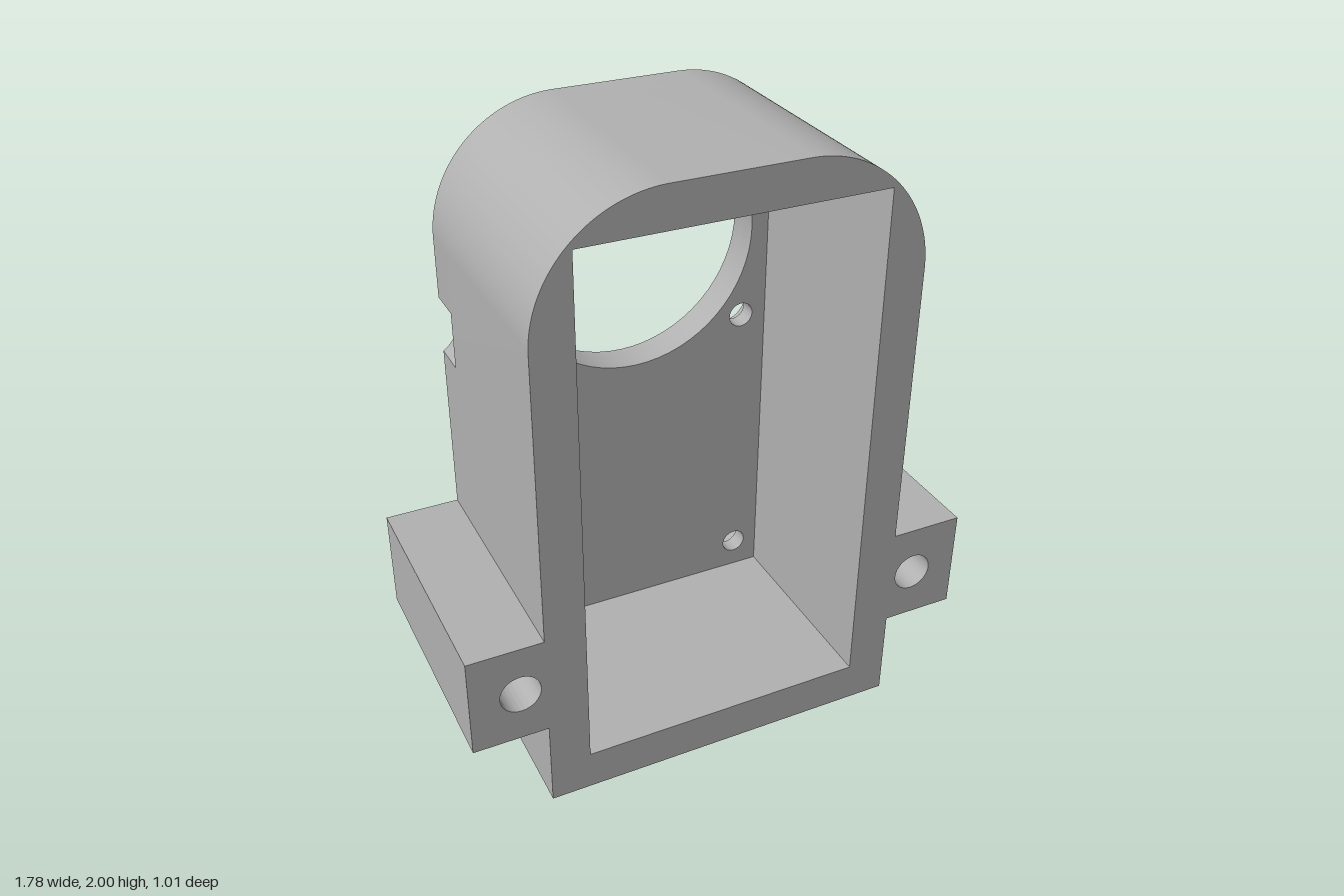
import * as THREE from 'three';
import { toCreasedNormals } from 'three/addons/utils/BufferGeometryUtils.js';

const HALF = 0.605, LUG = 0.847, TOP = 1.99, CORNER = 0.4;
const LUG_LOW = 0.3, LUG_HIGH = 0.64;
const BACK = -0.4, STEP = -0.34, FLOOR = -0.28, FRONT = 0.4;
const NOTCH_Y = 1.3, NOTCH_R = 0.111, NOTCH_HALF = 0.093;

// Housing outline with side lugs, optionally notched on both sides
function outline(notched) {
  const s = new THREE.Shape();
  const cy = TOP - CORNER, cx = HALF - CORNER;
  const nx = HALF + Math.sqrt(NOTCH_R ** 2 - NOTCH_HALF ** 2);
  const a = Math.asin(NOTCH_HALF / NOTCH_R);
  s.moveTo(-HALF, 0);
  s.lineTo(HALF, 0);
  s.lineTo(HALF, LUG_LOW);
  s.lineTo(LUG, LUG_LOW);
  s.lineTo(LUG, LUG_HIGH);
  s.lineTo(HALF, LUG_HIGH);
  if (notched) s.absarc(nx, NOTCH_Y, NOTCH_R, Math.PI + a, Math.PI - a, true);
  s.lineTo(HALF, cy);
  s.absarc(cx, cy, CORNER, 0, Math.PI / 2, false);
  s.lineTo(-cx, TOP);
  s.absarc(-cx, cy, CORNER, Math.PI / 2, Math.PI, false);
  if (notched) s.absarc(-nx, NOTCH_Y, NOTCH_R, a, -a, true);
  s.lineTo(-HALF, LUG_HIGH);
  s.lineTo(-LUG, LUG_HIGH);
  s.lineTo(-LUG, LUG_LOW);
  s.lineTo(-HALF, LUG_LOW);
  s.closePath();
  return s;
}

function circle(x, y, r) {
  return new THREE.Path().absarc(x, y, r, 0, Math.PI * 2, true);
}

// Mirrored pairs of holes
const lugHoles = (r) => [-1, 1].map((k) => circle(k * 0.687, 0.47, r));
const screwHoles = (r) =>
  [-1, 1].flatMap((k) => [0.237, 1.172].map((y) => circle(k * 0.385, y, r)));

function cavity() {
  const w = 0.474, low = 0.135, high = 1.86;
  return new THREE.Path([
    new THREE.Vector2(-w, low), new THREE.Vector2(-w, high),
    new THREE.Vector2(w, high), new THREE.Vector2(w, low),
    new THREE.Vector2(-w, low),
  ]);
}

export function createModel() {
  const grey = new THREE.MeshStandardMaterial({ color: 0xb0b0b0 });
  grey.name = 'plain grey';

  const housing = new THREE.Group();
  housing.name = 'housing';

  function layer(name, z0, z1, notched, holes) {
    const shape = outline(notched);
    shape.holes.push(...holes);
    const geo = new THREE.ExtrudeGeometry(shape, {
      depth: z1 - z0, bevelEnabled: false, curveSegments: 32,
    });
    geo.translate(0, 0, z0);
    const mesh = new THREE.Mesh(toCreasedNormals(geo, 0.5), grey);
    mesh.name = name;
    housing.add(mesh);
  }

  const opening = () => circle(0, 1.487, 0.415);
  // Back wall: counterbored outer half, then narrow screw holes
  layer('backPlateOuter', BACK, STEP, true, [opening(), ...screwHoles(0.078), ...lugHoles(0.125)]);
  layer('backPlateInner', STEP, FLOOR, true, [opening(), ...screwHoles(0.042), ...lugHoles(0.125)]);
  // Hollow frame with the mounting lugs
  layer('frameWithLugs', FLOOR, FRONT, false, [cavity(), ...lugHoles(0.065)]);

  // The housing stands slightly turned and tipped
  housing.rotation.set(0.0105, 0.127, 0, 'YXZ');
  housing.position.set(0, 0.0042, -0.005);

  const model = new THREE.Group();
  model.name = 'model';
  model.add(housing);
  return model;
}
